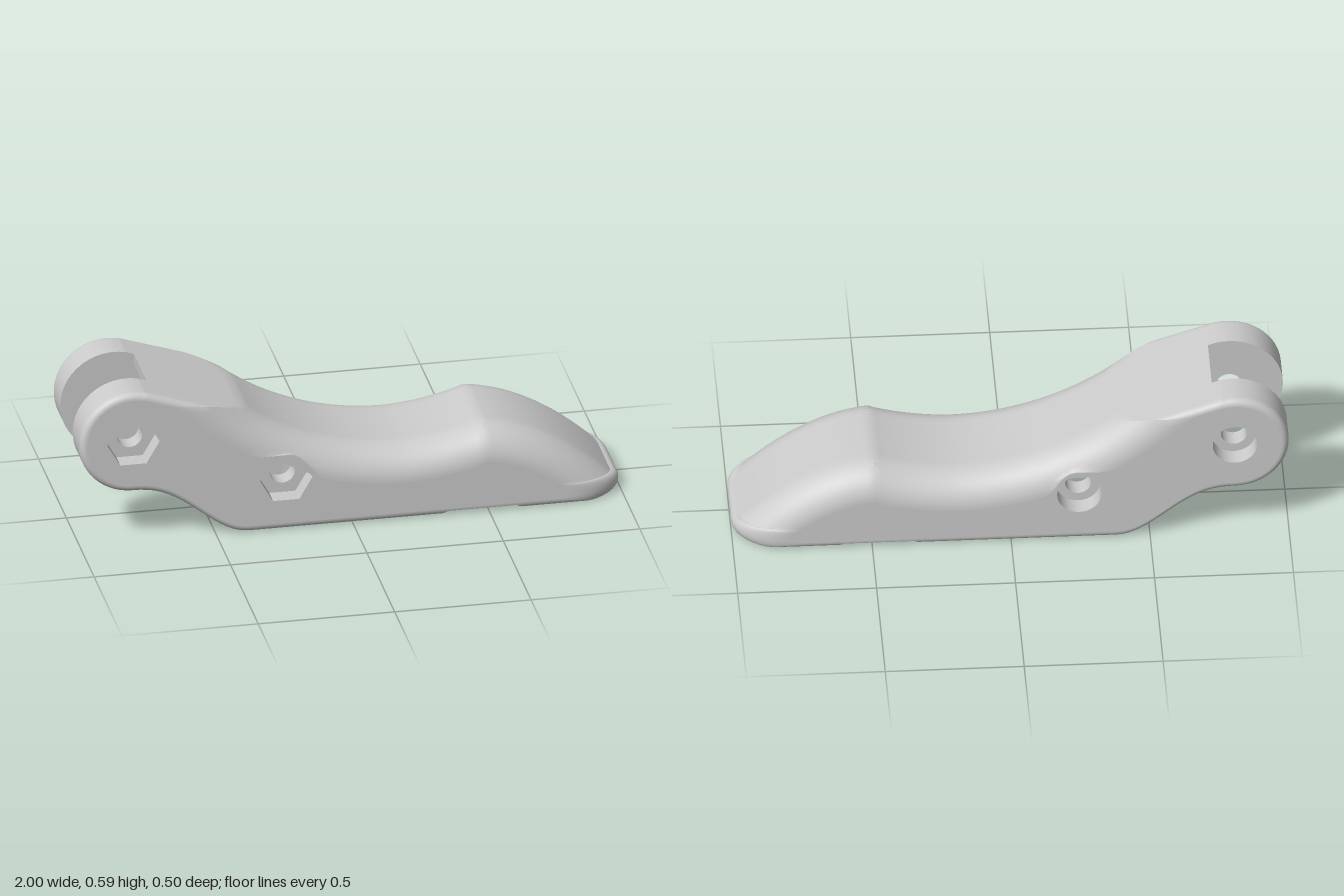
import * as THREE from 'three';
import { toCreasedNormals } from 'three/addons/utils/BufferGeometryUtils.js';

const HALF = 0.25, SLOT = 0.112, FILLET = 0.025;
const PIVOT = [-0.805, 0.395], PIN = [-0.245, 0.2];
const KNUCKLE_R = 0.195, JOINT_X = -0.76, HOLE_R = 0.047, SOCKET_DEPTH = 0.07;
const SLOT_X = -0.73, SLOT_Y = 0.535, CEIL_Y = 0.25;
const POCKET = { x0: 0.055, x1: 0.265, y: 0.19, z: 0.15 }, RECESS_Y = 0.015;

// Quarter-round falloff: 0 at the start of the rounding, 1 at its end
const round = (z, start, end) => {
  const t = Math.min(1, Math.max(0, (Math.abs(z) - start) / (end - start)));
  return 1 - Math.sqrt(1 - t * t);
};
const fillet = z => FILLET * round(z, HALF - FILLET, HALF);
const tipX = z => 1 - 0.2 * round(z, 0.1, HALF);
const slotEnd = z => -0.19 + Math.sqrt(Math.max(0, SLOT * SLOT - z * z));
const recess = z => 0.295 * Math.sqrt(1 - (z / 0.275) ** 2);

// Saddle followed by the convex toe
function gripY(x) {
  if (x < 0.49) {
    const arc = Math.sqrt(Math.max(0, 0.96 ** 2 - (x - 0.2) ** 2));
    return 1.225 - arc + 0.01 * Math.max(0, (x - 0.2) / 0.29);
  }
  const d = x - 0.49;
  return 0.32 - 0.1 * d - 0.92 * d * d;
}
function grip(x, z) {
  const rise = (gripY(x + 0.001) - gripY(x - 0.001)) / 0.002;
  const slope = Math.max(-3, Math.min(3, rise));
  const y = gripY(x) - 0.12 * round(z, 0.125, HALF) * Math.sqrt(1 + slope * slope);
  return Math.max(y, 0.295 - 12 * Math.max(0, x + 0.23) ** 2); // keep material round the pin socket
}
const ramp = (x, z) => 0.585 - 0.329 * (x - JOINT_X) - fillet(z);
const topY = (x, z) => Math.max(0.045, x < -0.3 ? Math.min(ramp(x, z), grip(x, z)) : grip(x, z));

// Place where the knuckle ramp meets the saddle
function ridgeX(z) {
  let a = JOINT_X + 0.01, b = -0.3;
  for (let i = 0; i < 30; i++) {
    const m = (a + b) / 2;
    if (grip(m, z) > ramp(m, z)) a = m; else b = m;
  }
  return a;
}

function sample(list, n, f) {
  for (let i = 0; i <= n; i++) list.push(f(i / n));
}
const mix = (a, b, t) => a + (b - a) * t;

function topLine(z, startX) {
  const pts = [], ridge = Math.max(ridgeX(z), startX + 0.01), end = tipX(z) - 0.03;
  const run = (a, b, n) => sample(pts, n, t => [mix(a, b, t), topY(mix(a, b, t), z)]);
  run(startX, ridge, 10);
  run(ridge, 0.49, 36);
  run(0.49, end, 20);
  const h = topY(end, z) - 0.035;
  sample(pts, 6, t => [end + 0.03 * Math.sin(t * Math.PI / 2), 0.035 + h * Math.cos(t * Math.PI / 2)]);
  return pts;
}
function toeUnderside(z) {
  const pts = [], e = fillet(z), end = tipX(z) - 0.03, x = Math.min(0.475 + recess(z), end - 0.01);
  pts.push([x, Math.max(e, RECESS_Y)], [x, e]);
  sample(pts, 6, t => [end + 0.03 * Math.sin(t * Math.PI / 2), 0.035 - (0.035 - e) * Math.cos(t * Math.PI / 2)]);
  return pts;
}
function pocketLine() {
  const { x0, x1, y } = POCKET;
  return [[x0, 0], [x0, y], [x1, y], [x1, RECESS_Y]];
}

// Upper and lower edge of a slice through a side cheek, from knuckle to toe
function cheekLines(z, pocketed) {
  const e = fillet(z), R = KNUCKLE_R - e, [cx, cy] = PIVOT;
  const top = [], low = [], joint = Math.acos((JOINT_X - cx) / KNUCKLE_R);
  const arc = a => [cx + R * Math.cos(a), cy + R * Math.sin(a)];
  sample(top, 16, t => arc(mix(Math.PI, joint, t)));
  top.push(...topLine(z, JOINT_X));
  sample(low, 14, t => arc(Math.PI * (1 + t / 2)));
  sample(low, 16, t => [mix(cx, -0.38, t), 0.1 * (1 + Math.cos(Math.PI * t ** 1.2)) + e]);
  const x = 0.475 - recess(z);
  low.push(...(pocketed ? pocketLine() : [[x, e], [x, Math.max(e, RECESS_Y)]]), ...toeUnderside(z));
  return [top, low];
}
function cheekSlice(z, pocketed) {
  const [top, low] = cheekLines(z, pocketed);
  return top.concat(low.reverse());
}

// Outline of a slice through the middle, with the slot and underside pocket
function middleSlice(z) {
  const s = slotEnd(z);
  const low = [[SLOT_X, SLOT_Y], [s, CEIL_Y], [s, 0], ...pocketLine(), ...toeUnderside(z)];
  return topLine(z, SLOT_X).concat(low.reverse());
}

// Skin a row of slices ordered by rising z
function loft(zs, slice) {
  const rows = zs.map(z => slice(z)), n = rows[0].length, pos = [], idx = [];
  rows.forEach((row, j) => row.forEach(p => pos.push(p[0], p[1], zs[j])));
  for (let j = 0; j < rows.length - 1; j++) for (let i = 0; i < n; i++) {
    const a = j * n + i, b = j * n + (i + 1) % n, c = a + n, d = b + n;
    idx.push(a, c, b, b, c, d);
  }
  const g = new THREE.BufferGeometry();
  g.setAttribute('position', new THREE.Float32BufferAttribute(pos, 3));
  g.setIndex(idx);
  // Creasing matches points to 0.01, so it is done at a larger size
  return toCreasedNormals(g.toNonIndexed().scale(100, 100, 100), 0.6).scale(0.01, 0.01, 0.01);
}

const ngon = ([cx, cy], r, n) => Array.from({ length: n }, (_, i) =>
  [cx + r * Math.cos(i / n * 2 * Math.PI), cy + r * Math.sin(i / n * 2 * Math.PI)]);

// Flat face in the xy plane with holes, facing +z or -z
function flatFace(pts, holes, z, dir) {
  const v = list => list.map(p => new THREE.Vector2(p[0], p[1]))
    .filter((p, i, all) => p.distanceTo(all[(i + 1) % all.length]) > 1e-5);
  const shape = new THREE.Shape(v(pts));
  holes.forEach(h => shape.holes.push(new THREE.Path(v(h))));
  const g = new THREE.ShapeGeometry(shape);
  if (dir < 0) {
    g.index.array.reverse();
    g.computeVertexNormals();
  }
  return g.translate(0, 0, z);
}

// Open tube along z
function bore([x, y], r, n, za, zb) {
  const g = new THREE.CylinderGeometry(r, r, Math.abs(zb - za), n, 1, true, Math.PI / 2);
  return g.rotateX(Math.PI / 2).translate(x, y, (za + zb) / 2);
}

export function createModel() {
  const group = new THREE.Group();
  const skin = new THREE.MeshStandardMaterial({ color: 0xcccccc });
  const lining = new THREE.MeshStandardMaterial({ color: 0xcccccc, side: THREE.DoubleSide });
  const facet = new THREE.MeshStandardMaterial({ color: 0xcccccc, side: THREE.DoubleSide, flatShading: true });
  const add = (name, geometry, material = skin) => {
    const m = new THREE.Mesh(geometry, material);
    m.name = name;
    group.add(m);
  };

  // Middle of the finger
  const mid = [];
  sample(mid, 16, t => SLOT * Math.sin((t - 0.5) * Math.PI));
  add('middleBody', loft(mid, middleSlice));

  // Cheeks, their flat sides, slot walls and bolt sockets
  const innerZ = [SLOT, 0.125, 0.137, POCKET.z], outerZ = [], t0 = Math.asin((POCKET.z - 0.125) / 0.125);
  sample(outerZ, 16, t => 0.125 + 0.125 * Math.sin(mix(t0, Math.PI / 2, t)));
  const [top, low] = cheekLines(SLOT, false), s = slotEnd(SLOT);
  const slotWall = [...top.filter(p => p[0] < SLOT_X), [SLOT_X, topY(SLOT_X, SLOT)], [SLOT_X, SLOT_Y],
    [s, CEIL_Y], [s, 0], ...low.filter(p => p[0] < s).reverse()];
  const rx = 0.475 - recess(POCKET.z);
  const pocketWall = [...pocketLine(), [rx, RECESS_Y], [rx, 0]];

  for (const side of [1, -1]) {
    const label = side > 0 ? 'front' : 'back';
    const sockets = [PIVOT, PIN];
    const [r, sides] = side > 0 ? [0.096, 6] : [0.08, 32];
    const floorZ = side * (HALF - SOCKET_DEPTH);
    const rising = zs => side > 0 ? zs : zs.map(z => -z).reverse();
    add(label + 'InnerCheek', loft(rising(innerZ), z => cheekSlice(z, true)));
    add(label + 'Cheek', loft(rising(outerZ), z => cheekSlice(z, false)));
    add(label + 'Side', flatFace(cheekSlice(HALF, false), sockets.map(c => ngon(c, r, sides)), side * HALF, side));
    add(label + 'SlotWall', flatFace(slotWall, sockets.map(c => ngon(c, HOLE_R, 24)), side * SLOT, -side));
    add(label + 'PocketWall', flatFace(pocketWall, [], side * POCKET.z, -side));
    for (const c of sockets) {
      add(label + 'Socket', bore(c, r, sides, side * HALF, floorZ), sides === 6 ? facet : lining);
      add(label + 'SocketFloor', flatFace(ngon(c, r, sides), [ngon(c, HOLE_R, 24)], floorZ, side));
      add(label + 'BoltHole', bore(c, HOLE_R, 24, floorZ, side * SLOT), lining);
    }
  }
  return group;
}
